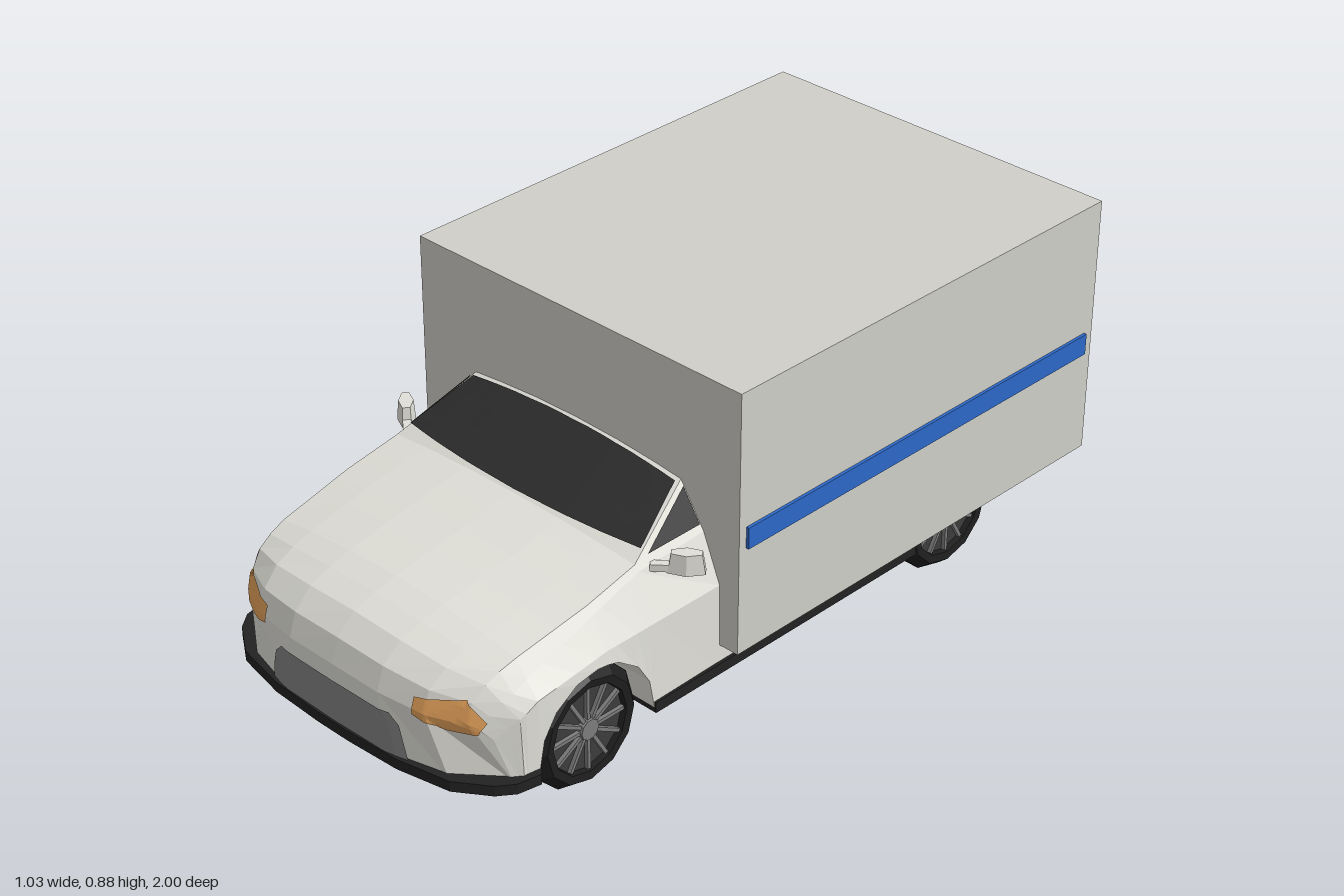
import * as THREE from 'three';

const mat = (name, color, side = THREE.FrontSide) => {
  const m = new THREE.MeshStandardMaterial({ color, side });
  m.name = name;
  return m;
};

// Faceted normals for low-poly parts
const facet = (g) => {
  const f = g.index ? g.toNonIndexed() : g;
  f.computeVertexNormals();
  return f;
};

// Cab sections: z, nose bow, top y, edge drop, top half width, shoulder x y, waist x y, sill x
const SECTIONS = [
  [-0.42, 0, 0.605, 0.02, 0.33, 0.4, 0.48, 0.45, 0.36, 0.45],
  [0.25, 0, 0.605, 0.02, 0.33, 0.4, 0.48, 0.45, 0.36, 0.452],
  [0.45, 0, 0.495, 0.015, 0.385, 0.395, 0.465, 0.45, 0.36, 0.455],
  [0.6, 0, 0.47, 0.02, 0.39, 0.405, 0.43, 0.45, 0.36, 0.455],
  [0.8, 0, 0.44, 0.03, 0.38, 0.41, 0.37, 0.445, 0.33, 0.445],
  [0.86, 0.03, 0.425, 0.03, 0.375, 0.41, 0.35, 0.44, 0.31, 0.44],
  [0.92, 0.08, 0.405, 0.03, 0.37, 0.4, 0.34, 0.435, 0.3, 0.44],
  [0.97, 0.13, 0.36, 0.02, 0.36, 0.39, 0.31, 0.42, 0.28, 0.435],
  [0.99, 0.15, 0.3, 0.01, 0.36, 0.38, 0.275, 0.4, 0.25, 0.425],
];
const COLUMNS = [-1, -0.75, -0.4, 0, 0.4, 0.75, 1];
const FRONT_AXLE = 0.63, REAR_AXLE = -0.58, WHEEL_R = 0.155;

function sectionAt(z) {
  let i = 0;
  while (i < SECTIONS.length - 2 && z > SECTIONS[i + 1][0]) i++;
  const a = SECTIONS[i], b = SECTIONS[i + 1], t = (z - a[0]) / (b[0] - a[0]);
  return a.map((v, k) => v + (b[k] - v) * t);
}

// Lofted cab whose floor rises over the front wheels
function cabGeometry() {
  const zs = SECTIONS.map((s) => s[0]);
  for (const d of [0.17, 0.155, 0.12, 0.06]) zs.push(FRONT_AXLE - d, FRONT_AXLE + d);
  zs.push(FRONT_AXLE);
  const stations = zs.sort((a, b) => a - b).filter((z, i) => !i || z - zs[i - 1] > 1e-4);
  const rings = stations.map((z0) => {
    const [z, bow, top, drop, th, sx, sy, wx, wy, bx] = sectionAt(z0);
    const floor = 0.14 + 1.12 * Math.sqrt(Math.max(0, 0.17 ** 2 - (z - FRONT_AXLE) ** 2));
    const ring = COLUMNS.map((u) => [u * th, top - drop * u * u]);
    ring.push([sx, sy], [wx, wy]);
    for (const u of COLUMNS) ring.push([-u * bx, floor]);
    ring.push([-wx, wy], [-sx, sy]);
    return ring.map(([x, y]) => [x, y, z - bow * (x / 0.44) ** 4]);
  });
  const n = 18, last = rings.length - 1, index = [];
  for (let r = 0; r < last; r++) {
    for (let i = 0; i < n; i++) {
      const j = (i + 1) % n, a = r * n, b = a + n;
      index.push(a + i, b + i, a + j, a + j, b + i, b + j);
    }
  }
  // End caps
  const cap = [[6, 9, 8], [6, 8, 7], [0, 17, 16], [0, 16, 15]];
  for (let c = 0; c < 6; c++) cap.push([c, 15 - c, 14 - c], [c, 14 - c, c + 1]);
  for (const [a, b, c] of cap) {
    index.push(last * n + a, last * n + b, last * n + c, a, c, b);
  }
  const g = new THREE.BufferGeometry();
  g.setAttribute('position', new THREE.Float32BufferAttribute(rings.flat(2), 3));
  g.setIndex(index);
  return facet(g);
}

// Thin panel laid on a target: corners are bottom pair then top pair, (x,y) or (z,y)
function panelOn(target, corners, side = 0, bulge = 0) {
  const [a, b, c, d] = corners, nu = 14, nv = 6, pos = [], index = [];
  const dir = side ? new THREE.Vector3(-side, 0, 0) : new THREE.Vector3(0, 0, -1);
  for (let j = 0; j <= nv; j++) {
    for (let i = 0; i <= nu; i++) {
      const u = i / nu, v = j / nv;
      const mix = (k) => (a[k] * (1 - u) + b[k] * u) * (1 - v) + (c[k] * (1 - u) + d[k] * u) * v;
      const h = mix(0), y = mix(1) + bulge * v * (1 - (2 * u - 1) ** 2);
      const from = side ? new THREE.Vector3(side * 2, y, h) : new THREE.Vector3(h, y, 2);
      const hit = new THREE.Raycaster(from, dir).intersectObject(target)[0];
      const p = hit ? hit.point.addScaledVector(hit.face.normal, 0.005) : from.setComponent(side ? 0 : 2, side ? side * 0.36 : 0.26);
      pos.push(p.x, p.y, p.z);
      if (i < nu && j < nv) {
        const k = j * (nu + 1) + i, m = k + nu + 1;
        index.push(k, k + 1, m, k + 1, m + 1, m);
      }
    }
  }
  const g = new THREE.BufferGeometry();
  g.setAttribute('position', new THREE.Float32BufferAttribute(pos, 3));
  g.setIndex(index);
  return facet(g);
}

// Horizontal plate from a mirrored half outline of (x, z)
function plate(half, y0, y1) {
  const pts = [...half, ...half.slice().reverse().map(([x, z]) => [-x, z])];
  const shape = new THREE.Shape(pts.map(([x, z]) => new THREE.Vector2(x, -z)));
  const g = new THREE.ExtrudeGeometry(shape, { depth: y1 - y0, bevelEnabled: false });
  return g.rotateX(-Math.PI / 2).translate(0, y0, 0);
}

export function createModel() {
  const model = new THREE.Group();
  const paint = mat('body paint', 0xe0dfd8);
  const boxPaint = mat('cargo box paint', 0xd0cfc8);
  const black = mat('black trim', 0x222222);
  const glass = mat('dark glass', 0x2c2c2c, THREE.DoubleSide);
  const lamp = mat('amber lamp', 0xe2a05a, THREE.DoubleSide);
  const grilleGrey = mat('grille grey', 0x848484, THREE.DoubleSide);
  const blue = mat('blue stripe', 0x2d68c8);
  const rubber = mat('tyre rubber', 0x1e1e1e, THREE.DoubleSide);
  const rimGrey = mat('rim grey', 0x3c3c3c);
  const spokeGrey = mat('spoke grey', 0x7c7c7c);

  const add = (name, geo, material, parent = model) => {
    const m = new THREE.Mesh(geo, material);
    m.name = name;
    parent.add(m);
    return m;
  };
  const block = (name, material, [x0, x1], [y0, y1], [z0, z1]) =>
    add(name, new THREE.BoxGeometry(x1 - x0, y1 - y0, z1 - z0)
      .translate((x0 + x1) / 2, (y0 + y1) / 2, (z0 + z1) / 2), material);

  // Cargo box with rear door and side stripes
  block('cargoBox', boxPaint, [-0.507, 0.507], [0.2, 0.875], [-0.987, 0.25]);
  block('rearDoor', black, [-0.447, 0.447], [0.215, 0.845], [-1, -0.986]);
  block('leftStripe', blue, [0.506, 0.515], [0.475, 0.53], [-0.958, 0.228]);
  block('rightStripe', blue, [-0.515, -0.506], [0.475, 0.53], [-0.958, 0.228]);

  // Cab with glass, lamps and grille
  const cab = add('cab', cabGeometry(), paint);
  cab.updateMatrixWorld(true);
  add('windshield', panelOn(cab, [[-0.372, 0.498], [0.372, 0.498], [-0.324, 0.58], [0.324, 0.58]], 0, 0.02), glass);
  add('grille', panelOn(cab, [[-0.222, 0.15], [0.222, 0.15], [-0.2, 0.235], [0.2, 0.235]]), grilleGrey);
  add('grilleTop', panelOn(cab, [[-0.2, 0.235], [0.2, 0.235], [-0.175, 0.26], [0.175, 0.26]]), grilleGrey);
  for (const s of [1, -1]) {
    const label = s > 0 ? 'left' : 'right';
    add(label + 'Headlight', panelOn(cab,
      [[s * 0.24, 0.285], [s * 0.315, 0.265], [s * 0.24, 0.325], [s * 0.35, 0.345]]), lamp);
    add(label + 'HeadlightCorner', panelOn(cab,
      [[s * 0.315, 0.265], [s * 0.375, 0.265], [s * 0.35, 0.345], [s * 0.388, 0.295]]), lamp);
    add(label + 'Window', panelOn(cab,
      [[0.41, 0.488], [0.255, 0.495], [0.4, 0.494], [0.255, 0.572]], s), glass);

    // Door mirror on a short arm
    const mirror = new THREE.Group();
    mirror.name = label + 'Mirror';
    mirror.position.set(s * 0.455, 0.478, 0.36);
    mirror.rotation.y = s * 0.7;
    const shell = new THREE.CylinderGeometry(0.036, 0.044, 0.05, 6).scale(1.1, 1, 0.5);
    add('mirrorShell', facet(shell), paint, mirror);
    add('mirrorArm', new THREE.BoxGeometry(0.06, 0.018, 0.02).translate(-s * 0.05, -0.014, 0), paint, mirror);
    model.add(mirror);
  }

  // Black lower trim: front bumper, floor and rear apron
  add('frontBumper', plate([[0.44, 0.79], [0.462, 0.81], [0.45, 0.87], [0.42, 0.91], [0.34, 0.965],
    [0.2, 0.993], [0.05, 1]], 0.125, 0.152), black);
  block('floorAndSills', black, [-0.46, 0.46], [0.127, 0.155], [-0.42, 0.46]);
  const apron = plate([[0.36, -0.965], [0.42, -0.9], [0.445, -0.82], [0.445, -0.73]].reverse(), 0.17, 0.201);
  const p = apron.attributes.position;
  for (let i = 0; i < p.count; i++) {
    if (p.getY(i) < 0.18) p.setY(i, 0.17 + 0.12 * (-0.73 - p.getZ(i)));
  }
  add('rearApron', facet(apron), black);

  // Wheels
  const tyreProfile = [[0.001, -0.0625], [0.125, -0.0625], [WHEEL_R, -0.055], [WHEEL_R, 0.035],
    [0.132, 0.0625], [0.112, 0.06], [0.108, 0.03]].map(([r, y]) => new THREE.Vector2(r, y));
  const tyre = facet(new THREE.LatheGeometry(tyreProfile, 12)).rotateZ(-Math.PI / 2);
  const rim = facet(new THREE.CylinderGeometry(0.112, 0.112, 0.02, 12)).rotateZ(-Math.PI / 2).translate(0.035, 0, 0);
  const hub = facet(new THREE.CylinderGeometry(0.026, 0.03, 0.02, 10)).rotateZ(-Math.PI / 2).translate(0.05, 0, 0);
  for (const z of [FRONT_AXLE, REAR_AXLE]) {
    for (const s of [1, -1]) {
      const wheel = new THREE.Group();
      wheel.name = (z > 0 ? 'front' : 'rear') + (s > 0 ? 'Left' : 'Right') + 'Wheel';
      wheel.position.set(s * 0.367, WHEEL_R, z);
      if (s < 0) wheel.rotation.y = Math.PI;
      add('tyre', tyre, rubber, wheel);
      add('rim', rim, rimGrey, wheel);
      add('hub', hub, spokeGrey, wheel);
      for (let k = 0; k < 12; k++) {
        const spoke = new THREE.BoxGeometry(0.012, 0.085, 0.009).translate(0.049, 0.066, 0);
        add('spoke', spoke.rotateX((k * Math.PI) / 6), spokeGrey, wheel);
      }
      model.add(wheel);
    }
  }
  return model;
}
